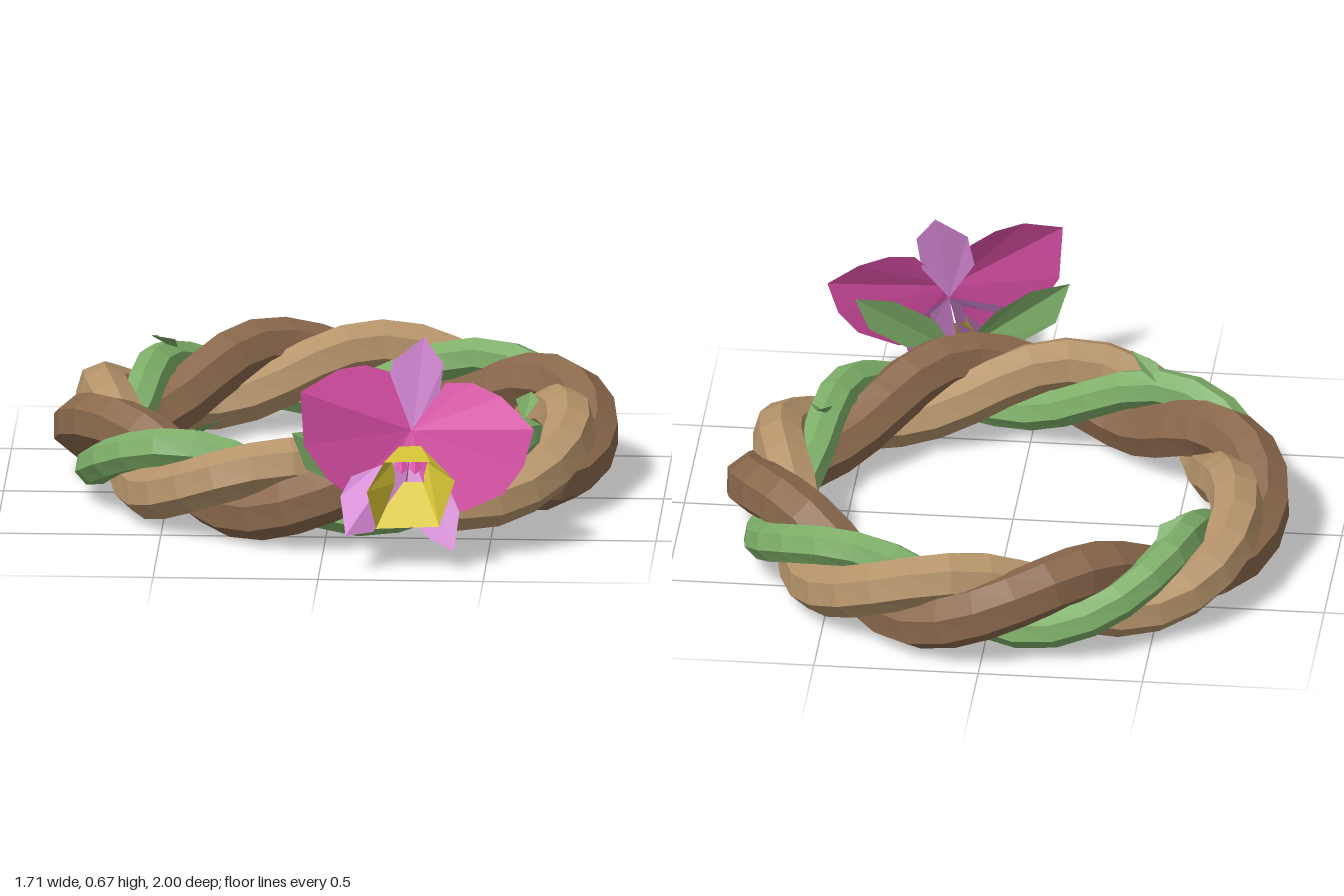
import * as THREE from 'three';

const mat = (name, color) => new THREE.MeshStandardMaterial({ name, color, flatShading: true, side: THREE.DoubleSide });

// A strand winding four times round the ring
class Strand extends THREE.Curve {
  constructor(offset, reach, lift) {
    super();
    Object.assign(this, { offset, reach, lift });
  }
  getPoint(t, target = new THREE.Vector3()) {
    const a = t * Math.PI * 2, p = 4 * a - this.offset;
    const r = 0.71 + this.reach * Math.cos(p);
    return target.set(r * Math.sin(a), 0.168 - this.lift * Math.sin(p), -0.145 - r * Math.cos(a));
  }
}

// Thin faceted blade: triangles fanned from its base over its outline
function fan(base, outline) {
  const pos = [];
  for (let i = 0; i < outline.length - 1; i++) pos.push(...base, ...outline[i + 1], ...outline[i]);
  const g = new THREE.BufferGeometry();
  g.setAttribute('position', new THREE.Float32BufferAttribute(pos, 3));
  g.computeVertexNormals();
  return g;
}

// Open skin between two loops of equal length
function loft(a, b) {
  const pos = [], n = a.length;
  for (let i = 0; i < n; i++) {
    const j = (i + 1) % n;
    pos.push(...a[i], ...b[i], ...b[j], ...a[i], ...b[j], ...a[j]);
  }
  const g = new THREE.BufferGeometry();
  g.setAttribute('position', new THREE.Float32BufferAttribute(pos, 3));
  g.computeVertexNormals();
  return g;
}

export function createModel() {
  const darkBark = mat('darkBark', 0x8a684c);
  const lightBark = mat('lightBark', 0xb5936a);
  const green = mat('leafGreen', 0x7dae68);
  const pink = mat('petalPink', 0xdd50a9);
  const lilac = mat('sepalLilac', 0xd486d4);
  const yellow = mat('lipYellow', 0xdcc938);

  const model = new THREE.Group();
  model.name = 'vineWreathWithFlower';
  const add = (parent, name, geometry, material) => {
    const m = new THREE.Mesh(geometry, material);
    m.name = name;
    parent.add(m);
  };

  // Three twisted strands
  const wreath = new THREE.Group();
  wreath.name = 'wreath';
  model.add(wreath);
  const third = Math.PI * 2 / 3;
  [
    ['darkStrand', darkBark, 0.065, 0.08, 0.088],
    ['lightStrand', lightBark, 0.065, 0.078, 0.082],
    ['greenVine', green, 0.075, 0.085, 0.06],
  ].forEach(([name, m, reach, lift, radius], i) =>
    add(wreath, name, new THREE.TubeGeometry(new Strand(i * third, reach, lift), 44, radius, 7, true), m));

  // Small sprouting leaves on the vine: base, tip
  [
    [[-0.42, 0.27, 0.38], [-0.31, 0.355, 0.46]],
    [[-0.5, 0.27, -0.66], [-0.58, 0.345, -0.56]],
    [[0.58, 0.27, 0.12], [0.6, 0.335, 0.01]],
  ].forEach(([b, t]) => {
    const dx = t[0] - b[0], dz = t[2] - b[2], k = 0.035 / Math.hypot(dx, dz);
    const side = s => [b[0] + dx * 0.45 - s * dz * k, b[1] + 0.055, b[2] + dz * 0.45 + s * dx * k];
    add(wreath, 'sprout', fan(b, [side(1), t, side(-1)]), green);
  });

  const flower = new THREE.Group();
  flower.name = 'flower';
  model.add(flower);

  // Leaves behind the flower
  const leafBase = [0.24, 0.2, 0.68];
  add(flower, 'rightLeaf', fan(leafBase, [
    [0.13, 0.34, 0.68], [0.02, 0.4, 0.72], [-0.09, 0.4, 0.78], [-0.05, 0.28, 0.75], [0.06, 0.22, 0.72]]), green);
  add(flower, 'leftLeaf', fan(leafBase, [
    [0.31, 0.33, 0.64], [0.43, 0.39, 0.63], [0.55, 0.38, 0.65], [0.51, 0.27, 0.67], [0.4, 0.21, 0.68]]), green);

  // Large side petals
  const heart = [0.27, 0.4, 0.73];
  add(flower, 'rightPetal', fan(heart, [
    [0.2, 0.57, 0.68], [0.13, 0.6, 0.72], [0.05, 0.6, 0.78], [-0.06, 0.55, 0.86],
    [-0.05, 0.38, 0.85], [0.02, 0.27, 0.83], [0.08, 0.22, 0.81], [0.18, 0.24, 0.78], [0.27, 0.33, 0.75]]), pink);
  add(flower, 'leftPetal', fan(heart, [
    [0.37, 0.53, 0.66], [0.45, 0.53, 0.65], [0.54, 0.49, 0.66], [0.64, 0.4, 0.705],
    [0.61, 0.29, 0.73], [0.55, 0.21, 0.755], [0.43, 0.16, 0.78], [0.33, 0.2, 0.79], [0.27, 0.33, 0.75]]), pink);

  // Narrow sepals: one above, two below
  const sepalBase = [0.27, 0.37, 0.71];
  add(flower, 'topSepal', fan(sepalBase, [
    [0.19, 0.5, 0.685], [0.21, 0.6, 0.675], [0.305, 0.67, 0.645], [0.365, 0.59, 0.665], [0.35, 0.48, 0.68]]), lilac);
  add(flower, 'lowerRightSepal', fan(sepalBase, [
    [0.12, 0.32, 0.77], [0.06, 0.22, 0.84], [0.08, 0.12, 0.93], [0.16, 0.12, 0.88], [0.25, 0.21, 0.79]]), lilac);
  add(flower, 'lowerLeftSepal', fan(sepalBase, [
    [0.26, 0.25, 0.76], [0.25, 0.16, 0.79], [0.33, 0.09, 0.84], [0.405, 0.06, 0.87], [0.42, 0.17, 0.82], [0.37, 0.27, 0.76]]), lilac);

  // Flared lip, open at both ends
  const throat = [
    [0.235, 0.36, 0.77], [0.3, 0.36, 0.765], [0.32, 0.31, 0.765], [0.305, 0.25, 0.77], [0.23, 0.25, 0.775], [0.215, 0.31, 0.775]];
  const rim = [
    [0.2, 0.37, 1], [0.34, 0.37, 0.985], [0.412, 0.3, 0.945], [0.36, 0.135, 0.865], [0.17, 0.13, 0.88], [0.145, 0.26, 0.94]];
  add(flower, 'lip', loft(throat, rim), yellow);

  // Little teeth in the throat
  [0.245, 0.285].forEach(x => add(flower, 'throatTooth',
    fan([x, 0.355, 0.785], [[x - 0.02, 0.3, 0.8], [x, 0.285, 0.82], [x + 0.02, 0.3, 0.8]]), pink));

  return model;
}
